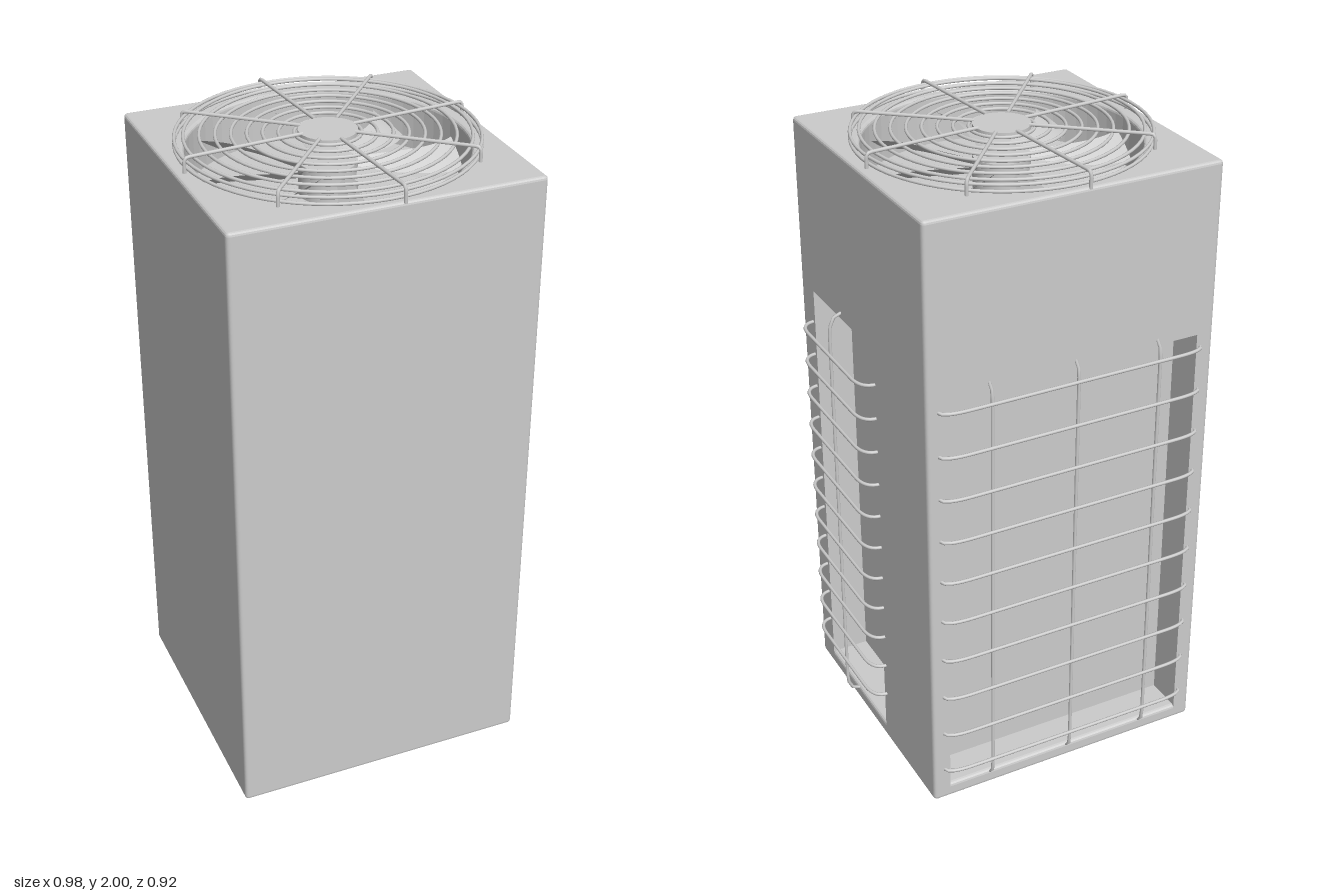
import * as THREE from 'three';

const CX = -0.025, CZ = 0.0125;          // centre of the cabinet and fan
const X0 = -0.49, X1 = 0.44, Z0 = -0.43, Z1 = 0.455;
const V = (x, y, z) => new THREE.Vector3(x, y, z);
const mat = new THREE.MeshStandardMaterial({ color: 0xcccccc });
const thinMat = new THREE.MeshStandardMaterial({ color: 0xcccccc, side: THREE.DoubleSide });

function add(parent, name, geometry, material = mat) {
  const mesh = new THREE.Mesh(geometry, material);
  mesh.name = name;
  parent.add(mesh);
  return mesh;
}

function addGroup(parent, name) {
  const g = new THREE.Group();
  g.name = name;
  parent.add(g);
  return g;
}

// Cabinet plan with rounded corners, drawn with shape y = -z
function plan(recessed) {
  const s = new THREE.Shape(), r = 0.015, d = 0.12;
  const at = (x, z) => s.lineTo(x, -z);
  s.moveTo(X0 + r, -Z1);
  at(X1 - r, Z1);
  s.quadraticCurveTo(X1, -Z1, X1, -Z1 + r);
  if (recessed) [[X1, 0.36], [X1 - d, 0.36], [X1 - d, -0.07], [X1, -0.07]].forEach(p => at(...p));
  at(X1, Z0 + r);
  s.quadraticCurveTo(X1, -Z0, X1 - r, -Z0);
  if (recessed) [[0.385, Z0], [0.385, Z0 + d], [-0.435, Z0 + d], [-0.435, Z0]].forEach(p => at(...p));
  at(X0 + r, Z0);
  s.quadraticCurveTo(X0, -Z0, X0, -Z0 - r);
  at(X0, Z1 - r);
  s.quadraticCurveTo(X0, -Z1, X0 + r, -Z1);
  return s;
}

// Vertical slice of the cabinet between two heights
function slice(shape, y0, y1, bevel = 0) {
  const g = new THREE.ExtrudeGeometry(shape, {
    depth: y1 - y0 - 2 * bevel, curveSegments: 32, bevelEnabled: bevel > 0,
    bevelSize: bevel, bevelThickness: bevel, bevelOffset: -bevel, bevelSegments: 3,
  });
  return g.rotateX(-Math.PI / 2).translate(0, y0 + bevel, 0);
}

// Wire that leaves a wall, runs parallel to it and returns
function bowedWire(a, b, out, bend, radius = 0.0055) {
  const dir = b.clone().sub(a).normalize().multiplyScalar(bend);
  const ao = a.clone().add(out), bo = b.clone().add(out);
  const a2 = ao.clone().add(dir), b2 = bo.clone().sub(dir);
  const path = new THREE.CurvePath();
  path.add(new THREE.QuadraticBezierCurve3(a, ao, a2));
  path.add(new THREE.LineCurve3(a2, b2));
  path.add(new THREE.QuadraticBezierCurve3(b2, bo, b));
  return new THREE.TubeGeometry(path, 48, radius, 8);
}

// Curved, pitched fan blade reaching from hub to tip
function bladeGeometry() {
  const g = new THREE.PlaneGeometry(1, 1, 16, 4);
  const p = g.attributes.position;
  for (let i = 0; i < p.count; i++) {
    const u = p.getX(i) + 0.5, v = p.getY(i);
    const r = 0.085 + 0.31 * u;
    const sweep = THREE.MathUtils.degToRad(9 - 41.7 * u + 32.7 * u * u);
    const angle = sweep + v * (0.03 + 0.07 * u) / r;
    p.setXYZ(i, r * Math.cos(angle), v * (0.03 + 0.03 * u), -r * Math.sin(angle));
  }
  g.computeVertexNormals();
  return g;
}

export function createModel() {
  const model = new THREE.Group();
  model.name = 'airConditionerUnit';

  // Cabinet: base, recessed middle, upper block and top with a fan well
  const cabinet = addGroup(model, 'cabinet');
  add(cabinet, 'cabinetBase', slice(plan(false), 0, 0.05, 0.012));
  add(cabinet, 'cabinetMiddle', slice(plan(true), 0.03, 1.42));
  add(cabinet, 'cabinetUpper', slice(plan(false), 1.42, 1.8));
  const topPlan = plan(false);
  const well = new THREE.Path();
  well.absarc(CX, -CZ, 0.405, 0, Math.PI * 2, true);
  topPlan.holes.push(well);
  add(cabinet, 'cabinetTop', slice(topPlan, 1.77, 1.95, 0.01));

  // Side guard
  const side = addGroup(model, 'sideGuard');
  const sideOut = V(0.05, 0, 0);
  for (let i = 0; i < 11; i++) {
    const y = 0.18 + i * 0.113;
    add(side, 'sideGuardRail', bowedWire(V(0.435, y, -0.085), V(0.435, y, 0.375), sideOut, 0.07));
  }
  add(side, 'sideGuardUpright', bowedWire(V(0.435, 0.04, 0.15), V(0.435, 1.44, 0.15), V(0.043, 0, 0), 0.07));

  // Back guard
  const back = addGroup(model, 'backGuard');
  for (let i = 0; i < 10; i++) {
    const y = 0.115 + i * 0.1405;
    add(back, 'backGuardRail', bowedWire(V(-0.45, y, -0.425), V(0.405, y, -0.425), V(0, 0, -0.03), 0.09));
  }
  for (const x of [-0.3, -0.03, 0.245]) {
    add(back, 'backGuardUpright', bowedWire(V(x, 0.04, -0.425), V(x, 1.44, -0.425), V(0, 0, -0.022), 0.07));
  }

  // Fan inside the well
  const fan = addGroup(model, 'fan');
  fan.position.set(CX, 1.87, CZ);
  add(fan, 'fanHub', new THREE.CylinderGeometry(0.085, 0.085, 0.1, 32)).position.y = -0.02;
  const blade = bladeGeometry();
  for (let i = 0; i < 8; i++) {
    add(fan, 'fanBlade', blade, thinMat).rotation.y = THREE.MathUtils.degToRad(40 + 45 * i);
  }

  // Wire guard over the fan
  const guard = addGroup(model, 'fanGuard');
  guard.position.set(CX, 0, CZ);
  const ring = (radius, y) => {
    const g = new THREE.TorusGeometry(radius, 0.005, 8, 64).rotateX(Math.PI / 2);
    add(guard, 'fanGuardRing', g).position.y = y;
  };
  for (let i = 0; i < 8; i++) ring(0.095 + i * 0.0445, 1.985);
  ring(0.432, 1.981);
  ring(0.432, 1.962);
  add(guard, 'fanGuardCap', new THREE.CylinderGeometry(0.085, 0.085, 0.012, 32)).position.y = 1.988;
  for (let i = 0; i < 8; i++) {
    const path = new THREE.CurvePath();
    path.add(new THREE.LineCurve3(V(0.08, 1.9945, 0), V(0.425, 1.9945, 0)));
    path.add(new THREE.QuadraticBezierCurve3(V(0.425, 1.9945, 0), V(0.44, 1.9945, 0), V(0.44, 1.98, 0)));
    path.add(new THREE.LineCurve3(V(0.44, 1.98, 0), V(0.44, 1.945, 0)));
    const spoke = add(guard, 'fanGuardSpoke', new THREE.TubeGeometry(path, 40, 0.0055, 8));
    spoke.rotation.y = THREE.MathUtils.degToRad(5 + 45 * i);
  }
  return model;
}
